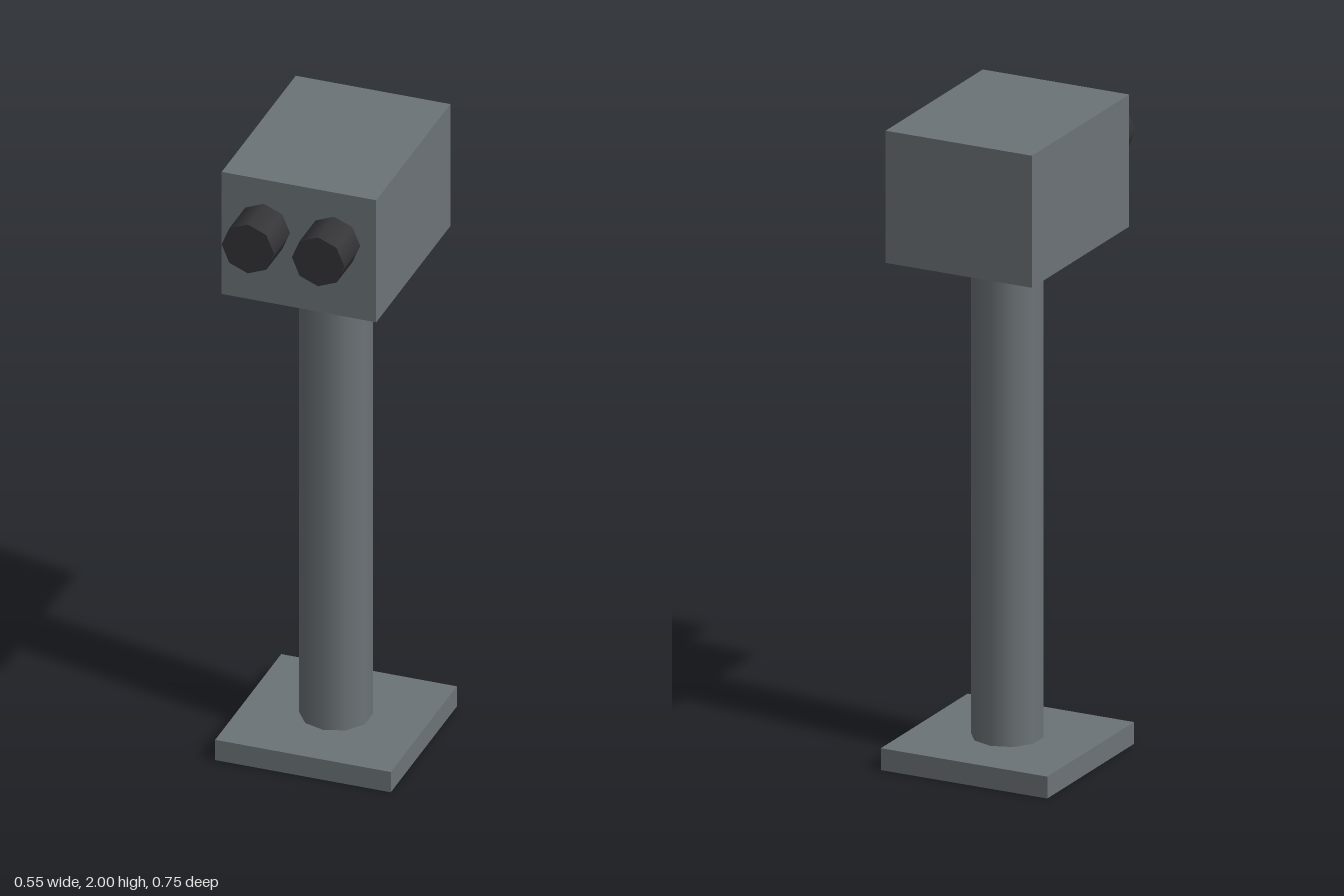
import * as THREE from 'three';

const CENTER_Z = -0.067; // base, post and head share this axis

export function createModel() {
  const model = new THREE.Group();
  const grey = new THREE.MeshStandardMaterial({ color: 0x6c7377 });
  const dark = new THREE.MeshStandardMaterial({ color: 0x343437 });

  function add(name, geometry, material, x, y, z) {
    const mesh = new THREE.Mesh(geometry, material);
    mesh.name = name;
    mesh.position.set(x, y, z);
    model.add(mesh);
    return mesh;
  }

  // Square foot plate
  add('base', new THREE.BoxGeometry(0.55, 0.068, 0.55), grey, 0, 0.034, CENTER_Z);

  // Ten-sided post, smooth shaded
  add('post', new THREE.CylinderGeometry(0.108, 0.108, 1.522, 10), grey, 0, 0.829, CENTER_Z);

  // Box head
  add('head', new THREE.BoxGeometry(0.484, 0.41, 0.617), grey, 0, 1.795, CENTER_Z);

  // Pair of eight-sided eyepieces on the front of the head
  for (const [side, name] of [[1, 'leftEyepiece'], [-1, 'rightEyepiece']]) {
    const eyepiece = add(name, new THREE.CylinderGeometry(0.082, 0.082, 0.133, 8), dark, side * 0.11, 1.837, 0.3085);
    eyepiece.rotation.x = Math.PI / 2;
  }

  return model;
}
